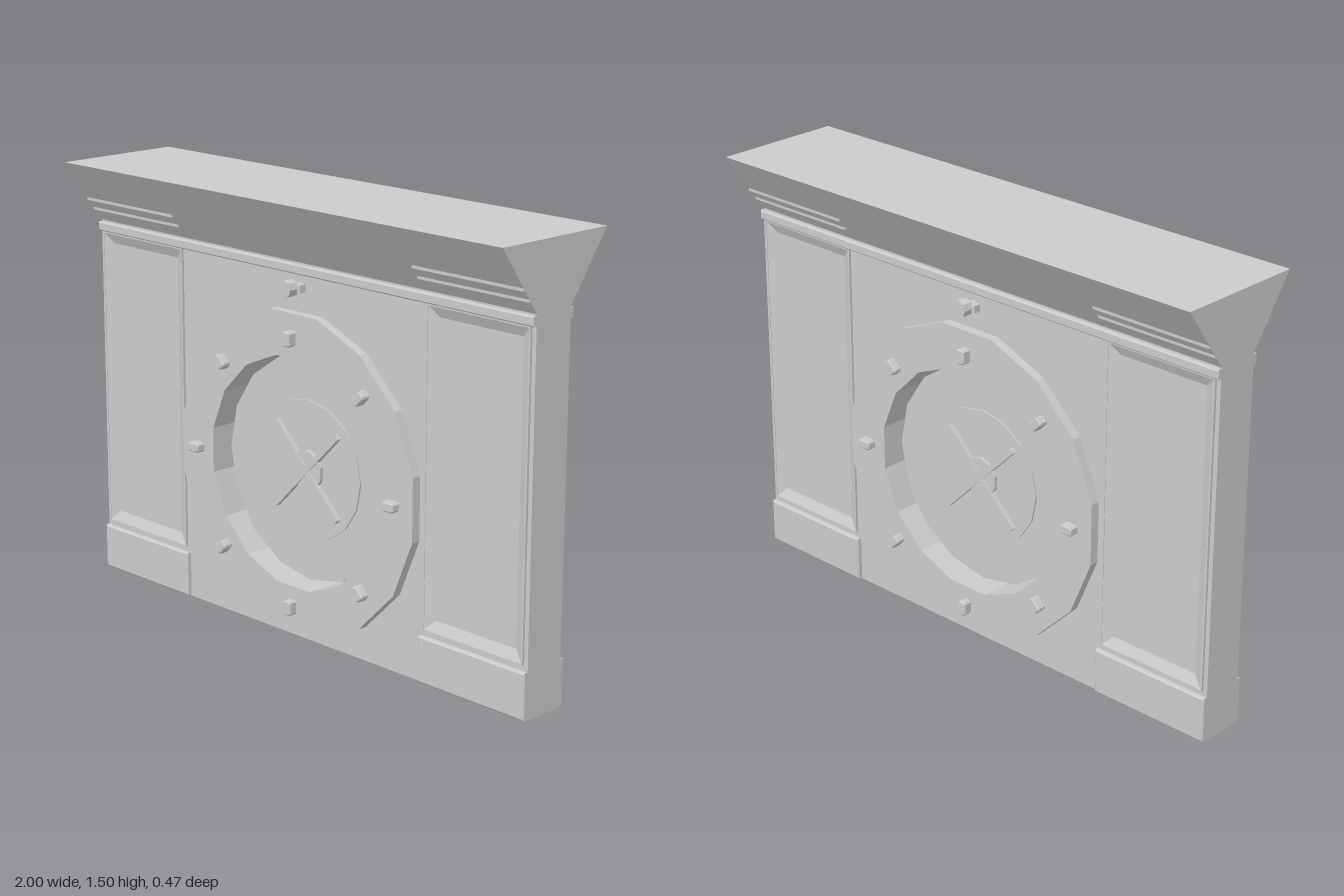
import * as THREE from 'three';

const CY = 0.576; // height of the round opening's centre
const WALL = 0.077; // half thickness of the wall
const mat = new THREE.MeshStandardMaterial({ color: 0xcccccc, flatShading: true });

function add(parent, name, geo, x = 0, y = 0, z = 0) {
  const m = new THREE.Mesh(geo, mat);
  m.name = name;
  m.position.set(x, y, z);
  parent.add(m);
  return m;
}

// Box given by its limits
function box(parent, name, x0, x1, y0, y1, z0, z1) {
  return add(parent, name, new THREE.BoxGeometry(x1 - x0, y1 - y0, z1 - z0),
    (x0 + x1) / 2, (y0 + y1) / 2, (z0 + z1) / 2);
}

// Regular polygon with flat sides up, down, left and right, given its apothem
function polygon(apothem, sides, cy = 0) {
  const r = apothem / Math.cos(Math.PI / sides), pts = [];
  for (let i = 0; i < sides; i++) {
    const a = (i + 0.5) / sides * Math.PI * 2;
    pts.push(new THREE.Vector2(r * Math.cos(a), cy + r * Math.sin(a)));
  }
  return pts;
}

const vectors = pts => pts.map(p => new THREE.Vector2(...p));
const rect = (x0, x1, y0, y1) => vectors([[x0, y0], [x1, y0], [x1, y1], [x0, y1]]);

// Extrusion from z0 to z1; a bevel stays inside the outline
function extrude(points, holes, z0, z1, bevel = 0) {
  const shape = new THREE.Shape(points);
  shape.holes = holes.map(h => new THREE.Path(h));
  return new THREE.ExtrudeGeometry(shape, {
    depth: z1 - z0 - 2 * bevel, bevelEnabled: bevel > 0, bevelSize: bevel,
    bevelThickness: bevel, bevelOffset: -bevel, bevelSegments: 1,
  }).translate(0, 0, z0 + bevel);
}

// Cylinder lying along z
const disc = (r, depth, sides) => new THREE.CylinderGeometry(r, r, depth, sides).rotateX(Math.PI / 2);

// Sloping sides and floor of a rectangular recess
function recess(x0, x1, y0, y1, zTop, inset, zFloor) {
  const outer = rect(x0, x1, y0, y1);
  const inner = rect(x0 + inset, x1 - inset, y0 + inset, y1 - inset);
  const pos = [];
  const put = (p, z) => pos.push(p.x, p.y, z);
  for (let i = 0; i < 4; i++) {
    const j = (i + 1) % 4;
    put(outer[i], zTop); put(outer[j], zTop); put(inner[j], zFloor);
    put(outer[i], zTop); put(inner[j], zFloor); put(inner[i], zFloor);
  }
  for (const i of [0, 1, 2, 0, 2, 3]) put(inner[i], zFloor);
  const g = new THREE.BufferGeometry();
  g.setAttribute('position', new THREE.Float32BufferAttribute(pos, 3));
  g.computeVertexNormals();
  return g;
}

const PANEL = [0.573, 0.979, 0.184, 1.237];
const mirrored = ([x0, x1, y0, y1]) => [-x1, -x0, y0, y1];

// Everything mounted on one face of the wall
function createFace() {
  const face = new THREE.Group();

  // Ring with eight chamfered studs
  add(face, 'ring', extrude(polygon(0.541, 16, CY), [polygon(0.39, 16, CY)], WALL, 0.11));
  const w = 0.016, h = 0.025, c = 0.006;
  const stud = vectors([[w, c - h], [w, h - c], [w - c, h], [c - w, h],
    [-w, h - c], [-w, c - h], [c - w, -h], [w - c, -h]]);
  const studGeo = extrude(stud, [], 0.108, 0.143, 0.004);
  for (let i = 0; i < 8; i++) {
    const a = i * Math.PI / 4;
    add(face, 'stud', studGeo, -0.46 * Math.sin(a), CY + 0.46 * Math.cos(a)).rotation.z = a;
  }

  // Knob above the ring
  add(face, 'knobStem', disc(0.014, 0.05, 8), 0, 1.203, 0.1);
  add(face, 'knob', disc(0.029, 0.038, 8), 0, 1.203, 0.128);
  box(face, 'knobBar', -0.04, 0.04, 1.19, 1.216, 0.09, 0.115);

  // Cornice moulding
  add(face, 'moulding', extrude(rect(-1, 1, 1.243, 1.275), [], 0.06, 0.093, 0.004));

  for (const s of [-1, 1]) {
    const p = s > 0 ? PANEL : mirrored(PANEL);
    const [x0, x1, y0, y1] = p;
    // Shallow panel with a thin raised rim
    add(face, 'panel', recess(...p, 0.084, 0.035, 0.068));
    add(face, 'panelRim', extrude(rect(x0 - 0.006, x1 + 0.006, y0 - 0.006, y1 + 0.006), [rect(...p)], WALL - 0.01, 0.086));
    // Plinth
    const [a, b] = s > 0 ? [0.553, 1] : [-1, -0.553];
    add(face, 'plinth', extrude(rect(a, b, 0.003, 0.16), [], 0.06, 0.094, 0.005));
    // Stepped strips under the flare
    box(face, 'strip', a, b, 1.32, 1.342, 0.07, 0.112);
    box(face, 'strip', a, b, 1.357, 1.379, 0.07, 0.139);
  }
  return face;
}

export function createModel() {
  const model = new THREE.Group();
  model.name = 'wallWithRoundHatch';

  // Wall pierced by the round opening and the panel recesses
  add(model, 'wall', extrude(rect(-1, 1, 0, 1.285),
    [polygon(0.39, 16, CY), rect(...PANEL), rect(...mirrored(PANEL))], -WALL, WALL));

  // Flared top, profile drawn in z and y
  const flare = vectors([[-WALL, 1.28], [WALL, 1.28], [0.234, 1.5], [-0.234, 1.5]]);
  add(model, 'flaredTop', extrude(flare, [], -1, 1).rotateY(Math.PI / 2));

  // Hatch disc in the opening, with hub and crossed bars
  const hatch = new THREE.Group();
  hatch.name = 'hatch';
  hatch.position.y = CY;
  model.add(hatch);
  add(hatch, 'hatchDisc', disc(0.386, 0.064, 16));
  add(hatch, 'hatchPlate', disc(0.239, 0.076, 16));
  add(hatch, 'hub', disc(0.07, 0.1, 10));
  for (const a of [1, -1]) {
    add(hatch, 'crossBar', new THREE.BoxGeometry(0.41, 0.02, 0.11)).rotation.z = a * Math.PI / 4;
  }

  // The same dressing on both faces
  const front = createFace();
  front.name = 'frontFace';
  const back = createFace();
  back.name = 'backFace';
  back.rotation.y = Math.PI;
  model.add(front, back);
  return model;
}
